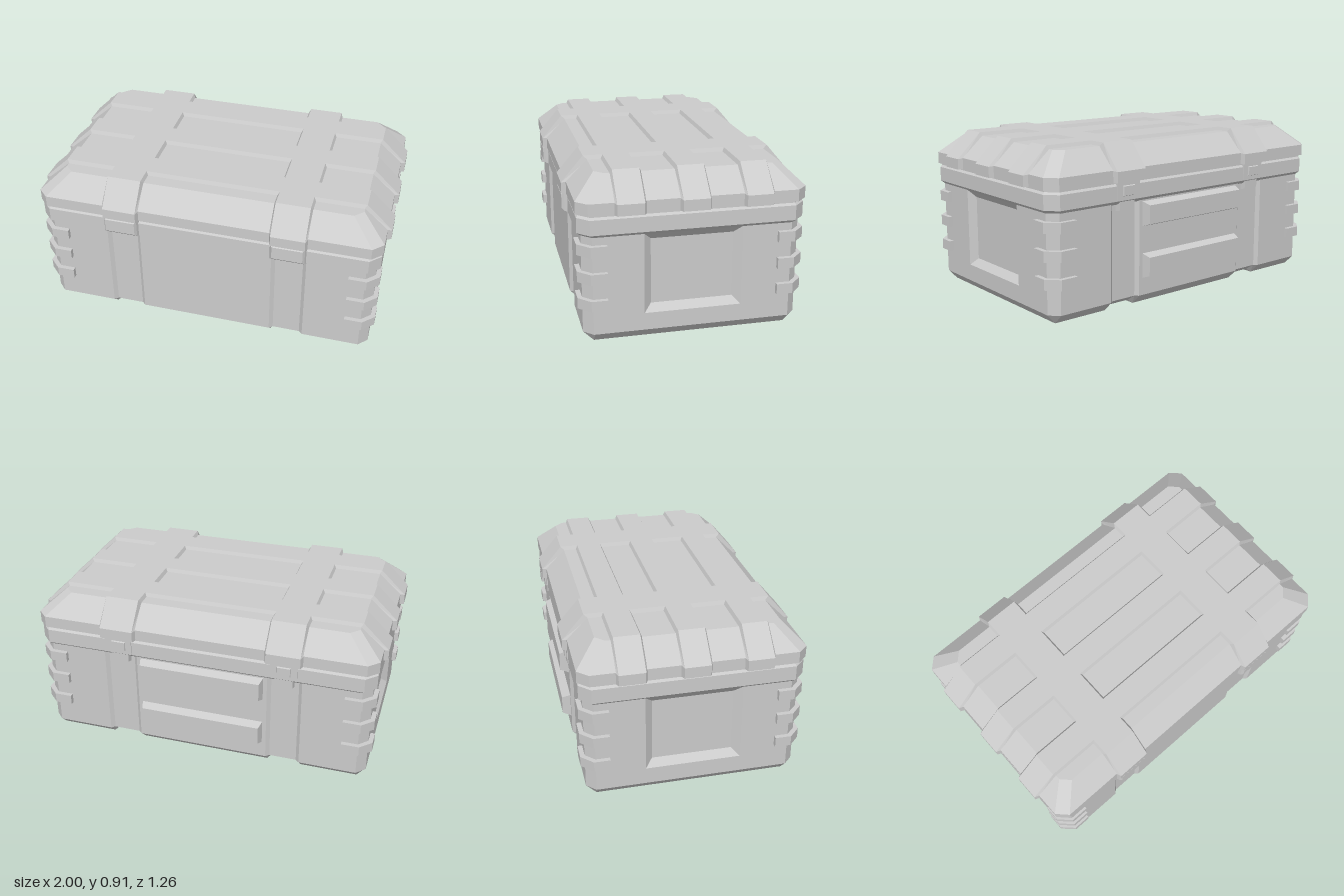
import * as THREE from 'three';

const grey = new THREE.MeshStandardMaterial({ color: 0xcccccc, flatShading: true });
const greyDouble = new THREE.MeshStandardMaterial({ color: 0xcccccc, flatShading: true, side: THREE.DoubleSide });

// Skins a row of convex loops (equal point counts) with flat faces, turned outwards
function loft(loops, capStart = true, capEnd = true) {
  const tris = [];
  const n = loops[0].length;
  for (let i = 0; i < loops.length - 1; i++) {
    for (let j = 0; j < n; j++) {
      const k = (j + 1) % n;
      const [a, b, c, d] = [loops[i][j], loops[i][k], loops[i + 1][k], loops[i + 1][j]];
      tris.push([a, b, c], [a, c, d]);
    }
  }
  const first = loops[0], last = loops[loops.length - 1];
  for (let j = 1; j < n - 1; j++) {
    if (capStart) tris.push([first[0], first[j + 1], first[j]]);
    if (capEnd) tris.push([last[0], last[j], last[j + 1]]);
  }
  let volume = 0;
  for (const [a, b, c] of tris) {
    volume += new THREE.Vector3(...a).dot(new THREE.Vector3(...b).cross(new THREE.Vector3(...c)));
  }
  if (volume < 0) tris.forEach((t) => t.reverse());
  const geometry = new THREE.BufferGeometry();
  geometry.setAttribute('position', new THREE.Float32BufferAttribute(tris.flat(2), 3));
  geometry.computeVertexNormals();
  return geometry;
}

// Level rectangle with cut corners
function octagon(y, hx, hz, c) {
  return [[hx, hz - c], [hx - c, hz], [c - hx, hz], [-hx, hz - c],
    [-hx, c - hz], [c - hx, -hz], [hx - c, -hz], [hx, c - hz]].map(([x, z]) => [x, y, z]);
}

// Upright rectangle facing z
function rect(z, cx, hw, y0, y1) {
  return [[cx - hw, y0, z], [cx + hw, y0, z], [cx + hw, y1, z], [cx - hw, y1, z]];
}

// Symmetric polygon across the box from its right-hand points [across, y]
function mirrored(half) {
  return [...half, ...half.map(([u, y]) => [-u, y]).reverse()];
}

export function createModel() {
  const model = new THREE.Group();
  const add = (name, geometry, material = grey, parent = model) => {
    const mesh = new THREE.Mesh(geometry, material);
    mesh.name = name;
    parent.add(mesh);
    return mesh;
  };

  // Body: cross-sections along x, shrunk where the strap grooves run
  const section = (x, d) => mirrored([[0.578 - d, 0.6], [0.578 - d, 0.055], [0.522 - d, d]])
    .map(([z, y]) => [x, y, z]);
  const end = (x) => mirrored([[0.528, 0.6], [0.528, 0.055], [0.52, 0.055]])
    .map(([z, y]) => [x, y, z]);
  const stations = [[0.9, 0], [0.575, 0], [0.555, 0.018], [0.4, 0.018], [0.38, 0]];
  add('body', loft([
    end(-0.95),
    ...stations.map(([x, d]) => section(-x, d)),
    ...stations.slice().reverse().map(([x, d]) => section(x, d)),
    end(0.95),
  ], false, false));

  // End walls with a sunken panel
  for (const side of [1, -1]) {
    const wall = new THREE.Group();
    wall.name = side > 0 ? 'leftEnd' : 'rightEnd';
    wall.rotation.y = side > 0 ? 0 : Math.PI;
    model.add(wall);
    const box = (u, y0, y1) => [[-u, y0], [u, y0], [u, y1], [-u, y1]];
    const points = (u, y0, y1) => box(u, y0, y1).map((p) => new THREE.Vector2(...p));
    const shape = new THREE.Shape(points(0.528, 0.055, 0.6));
    shape.holes.push(new THREE.Path(points(0.26, 0.15, 0.59)));
    add('endWall', new THREE.ShapeGeometry(shape).rotateY(Math.PI / 2).translate(0.95, 0, 0), grey, wall);
    const ring = (x, u, y0, y1) => box(u, y0, y1).map(([z, y]) => [x, y, z]);
    add('endRecess', loft([ring(0.95, 0.26, 0.15, 0.59), ring(0.915, 0.22, 0.19, 0.55)], false, true),
      greyDouble, wall);
  }

  // Rim between body and lid
  add('rim', loft([
    octagon(0.585, 0.945, 0.573, 0.05), octagon(0.607, 0.97, 0.599, 0.06),
    octagon(0.688, 0.97, 0.599, 0.06), octagon(0.7, 0.96, 0.589, 0.055),
    octagon(0.72, 0.96, 0.589, 0.055),
  ]));

  // Lid with sloping shoulders
  add('lid', loft([
    octagon(0.71, 0.975, 0.605, 0.057), octagon(0.775, 0.975, 0.605, 0.057),
    octagon(0.89, 0.845, 0.49, 0.048),
  ]));

  // Raised bands over the lid, with tapered flanks
  const band = (outer, inner, centre, hw, place) => {
    const at = (half, offset) => mirrored(half).map(([u, y]) => place(u, y, centre + offset));
    const t = 0.012;
    return loft([at(inner, -hw - t), at(outer, -hw), at(outer, hw), at(inner, hw + t)]);
  };
  for (const z of [-0.335, 0, 0.335]) {
    add('lidRib', band(
      [[1, 0.71], [1, 0.77], [0.855, 0.91]], [[0.97, 0.71], [0.97, 0.774], [0.84, 0.888]],
      z, 0.07, (u, y, w) => [u, y, w]));
  }
  for (const x of [-0.475, 0.475]) {
    add('lidStrap', band(
      [[0.63, 0.71], [0.63, 0.77], [0.51, 0.91]], [[0.6, 0.71], [0.6, 0.774], [0.485, 0.888]],
      x, 0.095, (u, y, w) => [w, y, u]));

    // Front hinge block
    add('frontBlock', loft([
      rect(0.585, x, 0.105, 0.6, 0.712), rect(0.615, x, 0.095, 0.61, 0.712),
      rect(0.629, x, 0.085, 0.625, 0.7),
    ]));

    // Back latch: plate, button and lower tab
    add('latchPlate', loft([rect(-0.56, x, 0.08, 0.605, 0.712), rect(-0.604, x, 0.075, 0.61, 0.712)]));
    add('latchButton', loft([rect(-0.6, x, 0.042, 0.63, 0.69), rect(-0.612, x, 0.037, 0.635, 0.685)]));
    add('latchTab', loft([rect(-0.55, x, 0.055, 0.545, 0.62), rect(-0.592, x, 0.05, 0.555, 0.62)]));
  }

  // Two raised bars on the back
  for (const y of [0.222, 0.512]) {
    add('backBar', loft([
      rect(-0.57, 0, 0.36, y - 0.072, y + 0.072), rect(-0.625, 0, 0.345, y - 0.052, y + 0.052),
    ]));
  }

  // Three guards wrapped round each corner
  const guard = [[0.81, 0.56], [0.81, 0.603], [0.91, 0.603], [0.975, 0.54],
    [0.975, 0.452], [0.93, 0.452], [0.93, 0.52], [0.88, 0.56]];
  for (const sx of [1, -1]) {
    for (const sz of [1, -1]) {
      const shape = new THREE.Shape(guard.map(([x, z]) => new THREE.Vector2(sx * x, sz * z)));
      const geometry = new THREE.ExtrudeGeometry(shape, { depth: 0.058, bevelEnabled: false });
      geometry.rotateX(Math.PI / 2);
      for (const y of [0.253, 0.4, 0.548]) add('cornerGuard', geometry, grey).position.y = y;
    }
  }

  return model;
}
